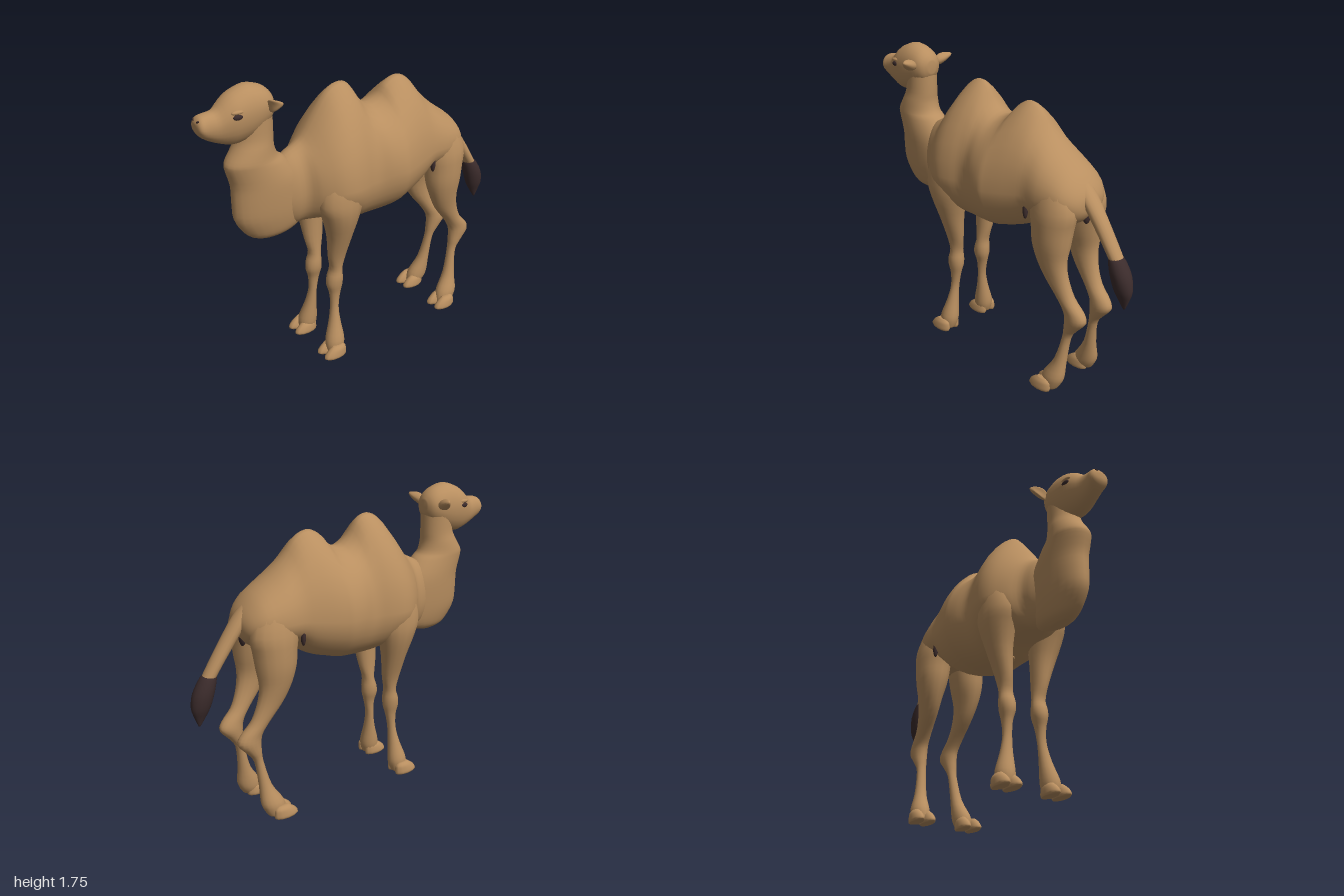
import * as THREE from 'three';

// Catmull-Rom blend of the numbers in neighbouring rows
function sampleRows(rows, steps) {
  const out = [];
  const last = rows.length - 1;
  for (let i = 0; i < last; i++) {
    const a = rows[Math.max(i - 1, 0)], b = rows[i], c = rows[i + 1], d = rows[Math.min(i + 2, last)];
    for (let s = 0; s < steps; s++) {
      const t = s / steps;
      out.push(b.map((v, k) => 0.5 * (2 * v + (c[k] - a[k]) * t
        + (2 * a[k] - 5 * v + 4 * c[k] - d[k]) * t * t
        + (3 * v - a[k] - 3 * c[k] + d[k]) * t * t * t)));
    }
  }
  out.push(rows[last]);
  return out;
}

// Skins rings of points (closed at both ends), facing outward
function skin(rows, ringPoint, segs = 20, steps = 3) {
  const rings = sampleRows(rows, steps);
  const pos = [], idx = [];
  for (const r of rings) {
    for (let j = 0; j < segs; j++) pos.push(...ringPoint(r, (j / segs) * Math.PI * 2));
  }
  for (let i = 0; i < rings.length - 1; i++) {
    for (let j = 0; j < segs; j++) {
      const k = (j + 1) % segs;
      const a = i * segs + j, b = i * segs + k, c = a + segs, d = b + segs;
      idx.push(a, b, c, b, d, c);
    }
  }
  for (const end of [0, rings.length - 1]) {
    const mid = [0, 0, 0], n = pos.length / 3;
    for (let j = 0; j < segs; j++) for (let k = 0; k < 3; k++) mid[k] += pos[(end * segs + j) * 3 + k] / segs;
    pos.push(...mid);
    for (let j = 0; j < segs; j++) {
      const a = end * segs + j, b = end * segs + (j + 1) % segs;
      if (end === 0) idx.push(n, b, a); else idx.push(n, a, b);
    }
  }
  // flip when the enclosed volume comes out negative
  const P = (i) => new THREE.Vector3(pos[i * 3], pos[i * 3 + 1], pos[i * 3 + 2]);
  let vol = 0;
  for (let i = 0; i < idx.length; i += 3) vol += P(idx[i]).dot(P(idx[i + 1]).cross(P(idx[i + 2])));
  if (vol < 0) idx.reverse();
  const g = new THREE.BufferGeometry();
  g.setAttribute('position', new THREE.Float32BufferAttribute(pos, 3));
  g.setIndex(idx);
  g.computeVertexNormals();
  return g;
}

// Level rings: [y, zMin, zMax, xMin, xMax]
const upright = (rows, side = 1, dz = 0, segs = 16) => skin(rows, ([y, z0, z1, x0, x1], a) => [
  side * ((x0 + x1) / 2 + (x1 - x0) / 2 * Math.cos(a)), y, dz + (z0 + z1) / 2 + (z1 - z0) / 2 * Math.sin(a)], segs);

// Standing rings: [z, bottom, widest height, top, half width, taper of upper half]
const lengthwise = (rows, segs = 32) => skin(rows, ([z, y0, ym, y1, w, p], a) => {
  const c = Math.abs(Math.cos(a)), s = Math.sin(a);
  const reach = s > 0 ? 0.75 * Math.pow(c, p) + 0.25 * c : Math.pow(c, 0.9);
  return [Math.sign(Math.cos(a)) * w * reach, ym + s * (s > 0 ? y1 - ym : ym - y0), z];
}, segs);

export function createModel() {
  const model = new THREE.Group();
  const tan = new THREE.MeshStandardMaterial({ color: 0xb98f60 });
  tan.name = 'tan coat';
  const dark = new THREE.MeshStandardMaterial({ color: 0x3c2c2c });
  dark.name = 'dark brown hair';
  const add = (name, geometry, material = tan) => {
    const m = new THREE.Mesh(geometry, material);
    m.name = name;
    model.add(m);
    return m;
  };
  const ball = (name, material, [x, y, z], [sx, sy, sz]) => {
    const m = add(name, new THREE.SphereGeometry(1, 14, 10), material);
    m.position.set(x, y, z);
    m.scale.set(sx, sy, sz);
    return m;
  };

  // Trunk with both humps
  add('body', lengthwise([
    [0.60, 0.98, 1.08, 1.24, 0.06, 1],
    [0.50, 0.89, 1.08, 1.31, 0.112, 1],
    [0.43, 0.89, 1.10, 1.345, 0.135, 1.1],
    [0.38, 0.895, 1.10, 1.385, 0.195, 1.3],
    [0.30, 0.89, 1.10, 1.50, 0.255, 1.55],
    [0.22, 0.87, 1.10, 1.60, 0.275, 1.85],
    [0.14, 0.835, 1.10, 1.636, 0.265, 1.9],
    [0.075, 0.825, 1.10, 1.61, 0.248, 1.8],
    [0.02, 0.825, 1.10, 1.525, 0.25, 1.4],
    [-0.05, 0.83, 1.12, 1.475, 0.272, 1.15],
    [-0.13, 0.84, 1.12, 1.50, 0.285, 1.35],
    [-0.18, 0.855, 1.12, 1.56, 0.275, 1.75],
    [-0.26, 0.88, 1.13, 1.595, 0.253, 1.9],
    [-0.34, 0.92, 1.14, 1.56, 0.23, 1.7],
    [-0.41, 0.98, 1.15, 1.47, 0.215, 1.3],
    [-0.50, 1.00, 1.15, 1.385, 0.215, 1.05],
    [-0.61, 1.00, 1.15, 1.305, 0.19, 1],
    [-0.67, 1.03, 1.14, 1.24, 0.145, 1],
    [-0.70, 1.07, 1.13, 1.19, 0.09, 1],
    [-0.71, 1.10, 1.13, 1.16, 0.03, 1],
  ]));

  // Deep hanging neck with a throat mane
  add('neck', upright([
    [0.85, 0.55, 0.67, -0.03, 0.03],
    [0.875, 0.46, 0.73, -0.065, 0.065],
    [0.92, 0.40, 0.775, -0.086, 0.086],
    [1.00, 0.38, 0.82, -0.103, 0.103],
    [1.10, 0.39, 0.825, -0.112, 0.112],
    [1.20, 0.42, 0.825, -0.115, 0.115],
    [1.30, 0.50, 0.85, -0.11, 0.11],
    [1.34, 0.55, 0.845, -0.107, 0.107],
    [1.40, 0.57, 0.805, -0.10, 0.10],
    [1.46, 0.57, 0.775, -0.09, 0.09],
    [1.56, 0.57, 0.76, -0.088, 0.088],
    [1.66, 0.575, 0.74, -0.085, 0.085],
    [1.70, 0.61, 0.70, -0.05, 0.05],
  ], 1, 0, 24));

  // Head from crown to muzzle
  add('head', lengthwise([
    [0.565, 1.58, 1.62, 1.655, 0.03, 1],
    [0.585, 1.54, 1.62, 1.69, 0.07, 1],
    [0.63, 1.50, 1.62, 1.725, 0.093, 1],
    [0.71, 1.46, 1.61, 1.745, 0.102, 1],
    [0.79, 1.445, 1.60, 1.722, 0.10, 1],
    [0.84, 1.452, 1.585, 1.69, 0.088, 1],
    [0.89, 1.47, 1.565, 1.645, 0.07, 0.9],
    [0.94, 1.495, 1.565, 1.638, 0.06, 0.8],
    [0.975, 1.52, 1.57, 1.63, 0.06, 0.8],
    [0.993, 1.545, 1.575, 1.61, 0.045, 0.9],
    [0.998, 1.565, 1.58, 1.595, 0.012, 1],
  ], 24));

  // Level rings of the legs and toes
  const foreleg = [
    [1.24, 0.17, 0.29, 0.10, 0.19], [1.15, 0.12, 0.36, 0.08, 0.25],
    [1.02, 0.11, 0.39, 0.07, 0.268], [0.92, 0.135, 0.36, 0.07, 0.258],
    [0.80, 0.165, 0.325, 0.075, 0.22], [0.65, 0.19, 0.305, 0.075, 0.167],
    [0.56, 0.212, 0.287, 0.068, 0.152], [0.50, 0.208, 0.305, 0.06, 0.157],
    [0.45, 0.21, 0.31, 0.063, 0.153], [0.39, 0.225, 0.295, 0.08, 0.142],
    [0.30, 0.242, 0.292, 0.087, 0.142], [0.20, 0.24, 0.312, 0.09, 0.165],
    [0.10, 0.23, 0.345, 0.09, 0.198], [0.05, 0.235, 0.35, 0.095, 0.20],
    [0.01, 0.25, 0.34, 0.11, 0.195],
  ];
  const hindLeg = [
    [1.31, -0.57, -0.47, 0.06, 0.12], [1.23, -0.64, -0.42, 0.03, 0.185],
    [1.10, -0.69, -0.405, 0.012, 0.222], [1.00, -0.677, -0.42, 0.018, 0.226],
    [0.90, -0.665, -0.43, 0.035, 0.22], [0.80, -0.652, -0.46, 0.06, 0.20],
    [0.70, -0.668, -0.51, 0.07, 0.177], [0.60, -0.71, -0.59, 0.07, 0.16],
    [0.53, -0.775, -0.637, 0.063, 0.155], [0.48, -0.79, -0.65, 0.06, 0.155],
    [0.42, -0.74, -0.65, 0.07, 0.148], [0.35, -0.695, -0.643, 0.083, 0.14],
    [0.20, -0.68, -0.605, 0.09, 0.162], [0.10, -0.68, -0.545, 0.09, 0.195],
    [0.05, -0.665, -0.53, 0.095, 0.198], [0.01, -0.64, -0.53, 0.11, 0.195],
  ];
  const toe = [
    [0, 0.25, 0.385, -0.03, 0.03], [0.012, 0.245, 0.397, -0.036, 0.036],
    [0.035, 0.245, 0.385, -0.034, 0.034], [0.058, 0.25, 0.36, -0.028, 0.028],
    [0.075, 0.27, 0.335, -0.014, 0.014],
  ];

  // Mirrored parts
  for (const [side, label] of [[1, 'left'], [-1, 'right']]) {
    add(label + 'Foreleg', upright(foreleg, side));
    add(label + 'HindLeg', upright(hindLeg, side));
    for (const [part, dz] of [['Fore', 0], ['Hind', -0.872]]) {
      for (const [spot, x] of [['Inner', 0.122], ['Outer', 0.195]]) {
        add(label + part + spot + 'Toe', upright(toe, 1, dz, 12)).position.x = side * x;
      }
    }

    // Cupped ear
    const ear = new THREE.SphereGeometry(1, 14, 10).scale(0.06, 0.03, 0.02);
    const p = ear.attributes.position;
    for (let i = 0; i < p.count; i++) {
      const x = p.getX(i), y = p.getY(i);
      p.setY(i, y * (1 - 6 * x));
      p.setZ(i, p.getZ(i) + 20 * y * y);
    }
    ear.computeVertexNormals();
    const e = add(label + 'Ear', ear);
    e.position.set(side * 0.13, 1.645, 0.612);
    e.rotation.set(0, side * 0.15, side * 0.35);
    e.scale.x = side;

    // Eye, brow and nostril
    ball(label + 'Eye', dark, [side * 0.09, 1.612, 0.802], [0.013, 0.016, 0.03]);
    ball(label + 'Brow', tan, [side * 0.085, 1.636, 0.80], [0.015, 0.012, 0.04]);
    const n = ball(label + 'Nostril', dark, [side * 0.02, 1.608, 0.988], [0.015, 0.006, 0.007]);
    n.rotation.z = side * 0.5;

    // Dark hair in the flank fold
    ball(label + 'FlankHair', dark, [side * 0.187, 1.062, -0.408], [0.016, 0.052, 0.014]);
  }

  // Tail, its dark tuft and the dark hair beneath its root
  add('tail', upright([
    [1.25, -0.66, -0.58, -0.04, 0.04], [1.18, -0.725, -0.63, -0.055, 0.055],
    [1.05, -0.82, -0.725, -0.048, 0.048], [0.95, -0.885, -0.80, -0.045, 0.045],
    [0.87, -0.935, -0.855, -0.042, 0.042],
  ]));
  add('tailTuft', upright([
    [0.895, -0.915, -0.85, -0.035, 0.035], [0.875, -0.94, -0.845, -0.047, 0.047],
    [0.80, -0.985, -0.862, -0.055, 0.055], [0.72, -1.0, -0.888, -0.044, 0.044],
    [0.66, -0.985, -0.92, -0.022, 0.022], [0.61, -0.965, -0.953, -0.004, 0.004],
  ]), dark);
  ball('tailRootHair', dark, [0, 1.07, -0.678], [0.028, 0.06, 0.02]);

  // Small sheath under the belly
  const sheath = ball('sheath', tan, [0, 0.822, 0.13], [0.022, 0.016, 0.045]);
  sheath.rotation.x = -0.3;

  return model;
}
